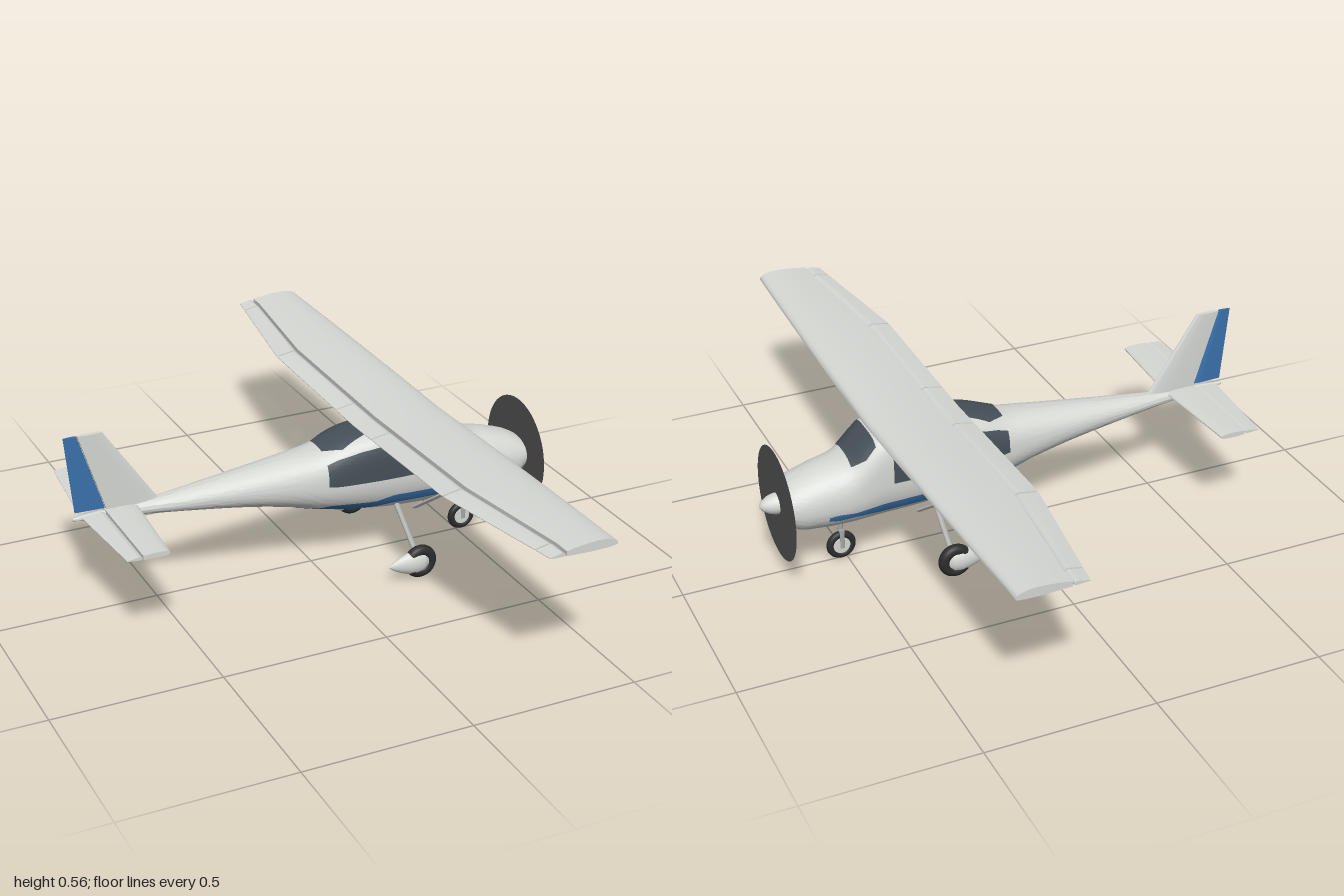
import * as THREE from 'three';
import { toCreasedNormals } from 'three/addons/utils/BufferGeometryUtils.js';

const V = (x, y, z) => new THREE.Vector3(x, y, z);
const makeMat = (name, color, side = THREE.FrontSide) => {
  const m = new THREE.MeshStandardMaterial({ color, side });
  m.name = name;
  return m;
};

// Skin rings of points; closed lofts are capped and turned outwards
function loft(rings, closed = true, crease = 0.6) {
  const n = rings[0].length, pts = rings.flat(), idx = [];
  for (let i = 0; i < rings.length - 1; i++) {
    for (let j = 0; j < (closed ? n : n - 1); j++) {
      const a = i * n + j, b = i * n + (j + 1) % n;
      idx.push(a, b, a + n, b, b + n, a + n);
    }
  }
  if (closed) {
    [0, rings.length - 1].forEach((r, end) => {
      const c = rings[r].reduce((s, p) => s.add(p), V(0, 0, 0)).divideScalar(n);
      const k = pts.push(c) - 1;
      for (let j = 0; j < n; j++) {
        const a = r * n + j, b = r * n + (j + 1) % n;
        end ? idx.push(a, b, k) : idx.push(b, a, k);
      }
    });
    let volume = 0;
    for (let i = 0; i < idx.length; i += 3) {
      volume += pts[idx[i]].dot(V(0, 0, 0).crossVectors(pts[idx[i + 1]], pts[idx[i + 2]]));
    }
    if (volume < 0) idx.reverse();
  }
  const g = new THREE.BufferGeometry().setFromPoints(pts);
  g.setIndex(idx);
  return toCreasedNormals(g, crease);
}

// Aerofoil slice between x0 (front) and x1 (rear) of a chord from le to te
function foil(le, te, x0, x1, y, up, low, span) {
  const top = [], bottom = [], N = 14;
  for (let i = 0; i <= N; i++) {
    const f = (1 - Math.cos(Math.PI * i / N)) / 2;
    const x = x0 + (x1 - x0) * f, s = Math.min(1, Math.max(0, (le - x) / (le - te)));
    let t = 2 * (1.4845 * Math.sqrt(s) - 0.63 * s - 1.758 * s * s + 1.4215 * s ** 3 - 0.518 * s ** 4);
    if (x0 < le) t *= Math.sqrt(Math.min(1, f / 0.2)); // rounded nose of a control surface
    top.push(V(x, y + up * t + 0.001, span));
    bottom.push(V(x, y - low * t - 0.001, span));
  }
  return [...top.reverse(), ...bottom];
}

// Fuselage stations: x, bottom, top, half width, squareness of the upper half
const stations = [
  [-0.745, 0.300, 0.308, 0.003, 2], [-0.70, 0.294, 0.313, 0.009, 2], [-0.55, 0.282, 0.319, 0.022, 2],
  [-0.40, 0.266, 0.334, 0.043, 2], [-0.20, 0.237, 0.357, 0.068, 2.1], [-0.08, 0.211, 0.371, 0.082, 2.3],
  [0.01, 0.187, 0.381, 0.092, 2.7], [0.10, 0.168, 0.408, 0.101, 3.3], [0.20, 0.152, 0.424, 0.107, 3.8],
  [0.30, 0.144, 0.426, 0.109, 4], [0.41, 0.140, 0.424, 0.108, 3.8], [0.45, 0.139, 0.397, 0.107, 3.2],
  [0.50, 0.139, 0.357, 0.105, 2.5], [0.60, 0.143, 0.329, 0.097, 2.2], [0.67, 0.158, 0.305, 0.087, 2.2],
  [0.70, 0.190, 0.288, 0.077, 2.2]];
const spline = new THREE.CubicInterpolant(
  stations.map(s => s[0]), stations.flatMap(s => s.slice(1)), 4, new Float32Array(4));
function station(x) {
  const [b, t, w, n] = spline.evaluate(x);
  return { c: (b + t) / 2, h: (t - b) / 2, w, n };
}
const sup = (v, n) => Math.pow(Math.max(0, 1 - Math.min(1, Math.abs(v)) ** n), 1 / n);

function fuselageRing(x) {
  const { c, h, w, n } = station(x), ring = [];
  for (let j = 0; j < 72; j++) {
    const a = (j / 72) * Math.PI * 2, e = 2 / (a < Math.PI ? n : 2.2);
    const p = v => Math.abs(v) < 1e-9 ? 0 : Math.sign(v) * Math.abs(v) ** e;
    ring.push(V(x, c + h * p(Math.sin(a)), w * p(Math.cos(a))));
  }
  return ring;
}

// Piecewise-linear lookup of [x, value, value] rows
function lookup(rows, x) {
  let i = 0;
  while (i < rows.length - 2 && x > rows[i + 1][0]) i++;
  const f = (x - rows[i][0]) / (rows[i + 1][0] - rows[i][0]);
  return [1, 2].map(k => rows[i][k] + (rows[i + 1][k] - rows[i][k]) * f);
}
// Thin skin over the fuselage; rows give y limits on a side, or z limits on top
function skin(rows, side) {
  const x0 = rows[0][0], x1 = rows[rows.length - 1][0], grid = [];
  for (let i = 0; i <= 40; i++) {
    const x = x0 + (x1 - x0) * i / 40, { c, h, w, n } = station(x), [lo, hi] = lookup(rows, x);
    grid.push(Array.from({ length: 17 }, (_, j) => {
      const v = lo + (hi - lo) * j / 16;
      if (!side) return V(x, c + h * sup(v / w, n) + 0.004, v);
      return V(x, v, side * (w * sup((v - c) / h, v > c ? n : 2.2) + 0.003));
    }));
  }
  return loft(grid, false);
}

export function createModel() {
  const white = makeMat('body white', 0xd6d8d4), blue = makeMat('trim blue', 0x3a72ac, THREE.DoubleSide);
  const glass = makeMat('window glass', 0x465058, THREE.DoubleSide), rubber = makeMat('tyre rubber', 0x2c2c2c);
  const blur = makeMat('propeller grey', 0x565656, THREE.DoubleSide), metal = makeMat('gear metal', 0xa6a8a6);
  const model = new THREE.Group();
  model.name = 'lightAircraft';
  const add = (name, geo, mat, pos = [0, 0, 0], parent = model) => {
    const m = new THREE.Mesh(geo, mat);
    m.name = name;
    m.position.set(...pos);
    parent.add(m);
    return m;
  };
  // Oval rod between two points, wide along x
  const rod = (name, p, q, wide, thin, mat) => {
    const d = q.clone().sub(p);
    const m = add(name, new THREE.CylinderGeometry(1, 1, d.length(), 16), mat);
    m.position.copy(p).addScaledVector(d, 0.5);
    m.quaternion.setFromUnitVectors(V(0, 1, 0), d.normalize());
    m.scale.set(wide, 1, thin);
  };

  // Fuselage with glazing and side stripes
  const rings = Array.from({ length: 97 }, (_, i) => fuselageRing(-0.745 + 1.445 * i / 96));
  add('fuselage', loft(rings), white);
  for (const s of [-1, 1]) {
    add('cabinWindow', skin([[0.015, 0.288, 0.353], [0.05, 0.284, 0.365], [0.12, 0.283, 0.38],
      [0.19, 0.282, 0.388], [0.326, 0.282, 0.388]], s), glass);
    add('doorWindow', skin([[0.335, 0.282, 0.39], [0.385, 0.282, 0.39]], s), glass);
    add('sideStripe', skin([[-0.07, 0.205, 0.217], [0, 0.186, 0.206], [0.03, 0.183, 0.216], [0.17, 0.18, 0.206],
      [0.23, 0.187, 0.221], [0.42, 0.183, 0.215], [0.5, 0.19, 0.207], [0.555, 0.188, 0.212],
      [0.58, 0.194, 0.208]], s), blue);
  }
  add('windscreen', skin([[0.428, -0.084, 0.084], [0.46, -0.088, 0.088], [0.5, -0.07, 0.07]], 0), glass);
  add('rearSkylight', skin([[0.015, -0.04, 0.04], [0.07, -0.07, 0.07], [0.15, -0.055, 0.055]], 0), glass);

  // Propeller disc and spinner
  add('propellerDisc', new THREE.CircleGeometry(0.171, 64), blur, [0.704, 0.235, 0]).rotation.y = Math.PI / 2;
  const cone = [[0.032, 0], [0.031, 0.012], [0.026, 0.03], [0.015, 0.047], [0.006, 0.054], [0, 0.056]];
  add('spinner', new THREE.LatheGeometry(cone.map(p => new THREE.Vector2(...p)), 32), white,
    [0.701, 0.235, 0]).rotation.z = -Math.PI / 2;

  // Wing with flaps, ailerons and tips
  const lead = a => 0.426 - 0.014 * a * a;
  const trail = a => 0.139 + Math.max(0, a - 0.55) * 0.15;
  const hinge = a => 0.212 + Math.max(0, Math.min(a, 0.95) - 0.55) * 0.108;
  const wingSlice = (z, rear) => {
    const a = Math.abs(z), le = lead(a), te = trail(a);
    return foil(le, te, rear ? hinge(a) - 0.003 : le, rear ? te : hinge(a),
      0.424 + 0.026 * a, 0.026 - 0.006 * a, 0.009 - 0.003 * a, z);
  };
  const wingPart = (name, zs, rear) => add(name, loft(zs.map(z => wingSlice(z, rear))), white);
  wingPart('wing', [-1, -0.95, -0.75, -0.55, -0.25, 0, 0.25, 0.55, 0.75, 0.95, 1], false);
  wingPart('wingCentreFairing', [-0.115, 0, 0.115], true);
  for (const s of [-1, 1]) {
    wingPart('flap', [0.12 * s, 0.545 * s], true);
    wingPart('aileron', [0.552 * s, 0.75 * s, 0.937 * s], true);
    wingPart('wingTipEdge', [0.943 * s, s], true);
    rod('wingStrut', V(0.302, 0.165, 0.098 * s), V(0.32, 0.435, 0.475 * s), 0.013, 0.005, white);
  }

  // Tailplane and elevators
  const tailSlice = (z, rear) => {
    const f = Math.abs(z) / 0.31, le = -0.55 - 0.02 * f, te = -0.722 + 0.027 * f;
    return foil(le, te, rear ? -0.651 : le, rear ? te : -0.648, 0.311, 0.008, 0.006, z);
  };
  add('tailplane', loft([-0.31, 0, 0.31].map(z => tailSlice(z, false))), white);
  for (const s of [-1, 1]) add('elevator', loft([0.012 * s, 0.31 * s].map(z => tailSlice(z, true))), white);

  // Fin and rudder
  const finSlice = (f, rear) => {
    const le = -0.487 - 0.158 * f, h = -0.645 - 0.073 * f, te = -0.737 - 0.022 * f;
    return foil(le, te, rear ? h - 0.002 : le, rear ? te : h, 0, 0.006, 0.006, 0.324 + 0.235 * f)
      .map(p => V(p.x, p.z, p.y));
  };
  add('fin', loft([-0.04, 1].map(f => finSlice(f, false))), white);
  add('rudder', loft([0, 1].map(f => finSlice(f, true))), blue);

  // Wheels
  const wheel = (name, x, y, z, R, r, hub) => {
    const g = new THREE.Group();
    g.name = name;
    g.position.set(x, y, z);
    model.add(g);
    add('tyre', new THREE.TorusGeometry(R, r, 16, 40), rubber, [0, 0, 0], g);
    add('hub', new THREE.CylinderGeometry(hub, hub, r * 1.5, 28), white, [0, 0, 0], g).rotation.x = Math.PI / 2;
  };
  // Main gear with teardrop fairings behind the wheels
  const drop = [[0, 0], [0.012, 0.015], [0.024, 0.038], [0.035, 0.068], [0.038, 0.09], [0.034, 0.112],
    [0.022, 0.127], [0, 0.134]].map(p => new THREE.Vector2(...p));
  for (const s of [-1, 1]) {
    wheel('mainWheel', 0.25, 0.056, 0.23 * s, 0.035, 0.017, 0.026);
    const fairing = add('wheelFairing', new THREE.LatheGeometry(drop, 28), white, [0.145, 0.056, 0.23 * s]);
    fairing.rotation.z = -Math.PI / 2;
    fairing.scale.z = 0.63;
    rod('mainGearLeg', V(0.25, 0.175, 0.075 * s), V(0.25, 0.06, 0.218 * s), 0.009, 0.006, metal);
  }
  // Nose gear
  wheel('noseWheel', 0.517, 0.046, 0, 0.034, 0.011, 0.026);
  rod('noseGearLeg', V(0.517, 0.16, 0), V(0.517, 0.096, 0), 0.008, 0.008, metal);
  rod('forkCrown', V(0.517, 0.098, -0.016), V(0.517, 0.098, 0.016), 0.009, 0.004, metal);
  for (const s of [-1, 1]) rod('noseFork', V(0.517, 0.1, 0.014 * s), V(0.517, 0.04, 0.014 * s), 0.007, 0.002, metal);
  return model;
}
